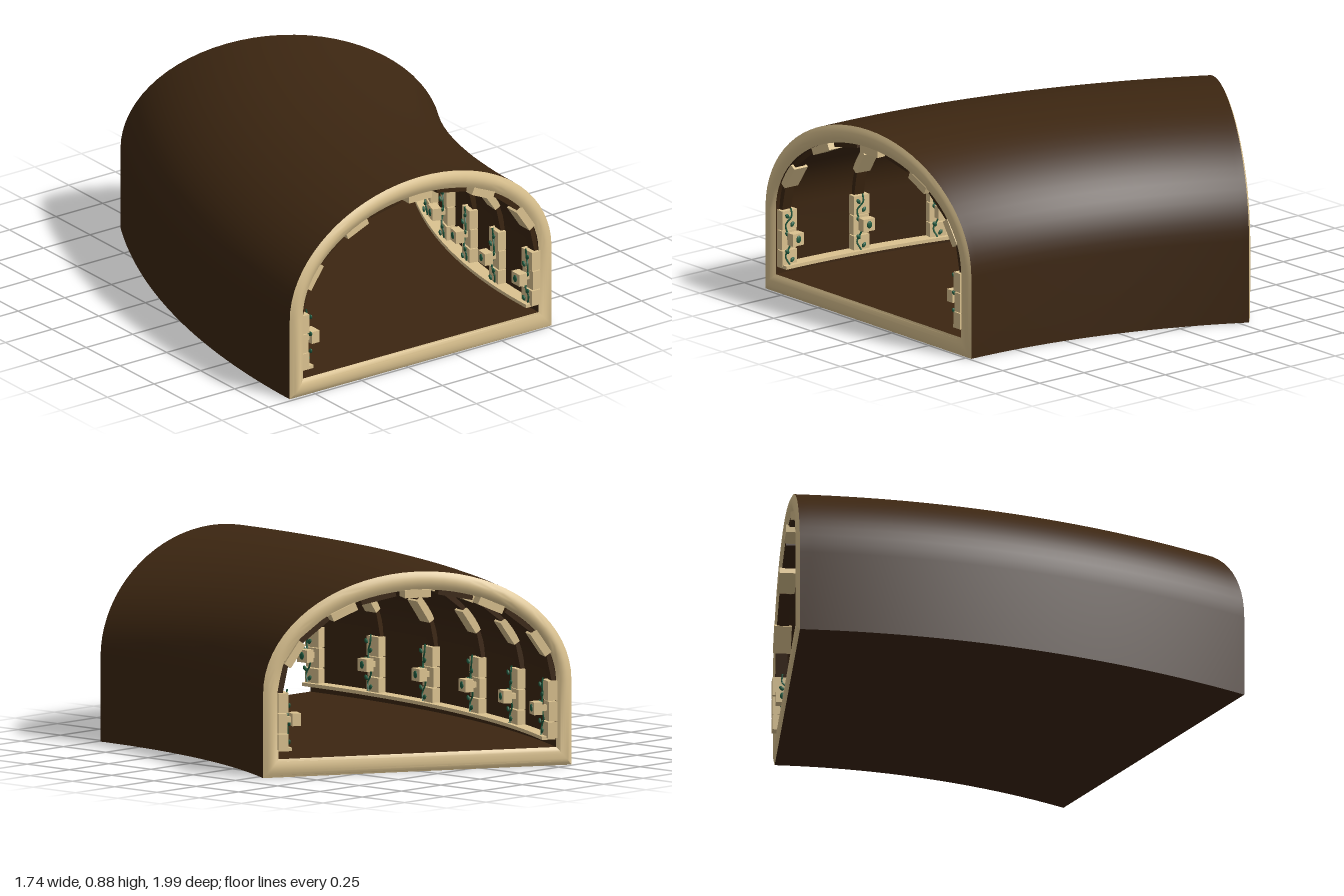
import * as THREE from 'three';
import { toCreasedNormals } from 'three/addons/utils/BufferGeometryUtils.js';

const ARC = Math.PI / 6, RADIUS = 3.3, STEPS = 40, BULGE = 0.004;
const WALL_TOP = 0.37;
const INNER = { a: 0.63, b: 0.425, floor: 0.08 };
const OUTER = { a: 0.7, b: 0.505, floor: 0 };

// maps a cross-section point (u sideways, y up) to the bend at angle t
function place(u, y, t) {
  const r = RADIUS - u;
  return [3.125 - r * Math.cos(t), y, 1 - r * Math.sin(t)];
}

// clockwise arch outline: left wall, vault, right wall
function archProfile({ a, b, floor }) {
  const pts = [[-a, floor]];
  for (let i = 0; i <= 36; i++) {
    const k = Math.PI * (1 - i / 36);
    pts.push([a * Math.cos(k), WALL_TOP + b * Math.sin(k)]);
  }
  pts.push([a, floor]);
  return pts;
}

// skins closed loops of points into a surface
function loft(rows) {
  const n = rows[0].length, index = [];
  for (let i = 0; i < rows.length - 1; i++) {
    for (let j = 0; j < n; j++) {
      const a = i * n + j, b = i * n + (j + 1) % n;
      index.push(a, b, a + n, b, b + n, a + n);
    }
  }
  const g = new THREE.BufferGeometry();
  g.setAttribute('position', new THREE.Float32BufferAttribute(rows.flat(2), 3));
  g.setIndex(index);
  return toCreasedNormals(g, 0.6);
}

function sweep(profile, from, to) {
  const rows = [];
  for (let i = 0; i <= STEPS; i++) {
    const t = from + (to - from) * i / STEPS;
    rows.push(profile.map(([u, y]) => place(u, y, t)));
  }
  return rows;
}

export function createModel() {
  const model = new THREE.Group();
  const material = (name, color) => {
    const m = new THREE.MeshStandardMaterial({ color });
    m.name = name;
    return m;
  };
  const brown = material('dark brown', 0x3c2611);
  const cream = material('sandstone', 0xdcc390);
  const green = material('vine green', 0x1f5c40);

  const add = (parent, name, geometry, mat, x = 0, y = 0, z = 0) => {
    const mesh = new THREE.Mesh(geometry, mat);
    mesh.name = name;
    mesh.position.set(x, y, z);
    parent.add(mesh);
    return mesh;
  };

  // curved shell, outside and inside
  const inner = archProfile(INNER), outer = archProfile(OUTER);
  add(model, 'outerShell', loft(sweep(outer, BULGE, ARC - BULGE)), brown);
  add(model, 'innerShell', loft(sweep(inner, BULGE, ARC - BULGE).reverse()), brown);

  // softly rounded frames around both openings
  const frame = (atBack) => {
    const rows = [];
    for (let i = 0; i <= 8; i++) {
      const k = i / 8, inset = BULGE * (1 - Math.sin(Math.PI * k));
      const t = atBack ? ARC - inset : inset;
      rows.push(inner.map(([u, y], j) =>
        place(u + (outer[j][0] - u) * k, y + (outer[j][1] - y) * k, t)));
    }
    return loft(atBack ? rows.reverse() : rows);
  };
  add(model, 'frontFrame', frame(false), cream);
  add(model, 'backFrame', frame(true), cream);

  // ledges along the foot of both walls
  for (const s of [-1, 1]) {
    const u0 = Math.min(s * 0.568, s * 0.635), u1 = Math.max(s * 0.568, s * 0.635);
    const rows = sweep([[u0, 0.112], [u0, 0.127], [u1, 0.127], [u1, 0.112]], 0.006, ARC - 0.006);
    const cap = (t) => Array(4).fill(place((u0 + u1) / 2, 0.12, t));
    rows.unshift(cap(0.006));
    rows.push(cap(ARC - 0.006));
    add(model, s < 0 ? 'rightLedge' : 'leftLedge', loft(rows), cream);
  }

  // shared rib pieces
  const stones = [[0.12, 0.19, 0.045], [0.194, 0.28, 0.04], [0.284, 0.37, 0.045]];
  const stoneBlock = new THREE.BoxGeometry(0.12, 0.035, 0.075);
  const ribBar = new THREE.BoxGeometry(0.16, 0.024, 0.05);
  const planterBox = new THREE.BoxGeometry(0.04, 0.055, 0.06);
  const bracket = new THREE.BoxGeometry(0.03, 0.025, 0.025);
  const leaf = new THREE.SphereGeometry(0.013, 8, 6).scale(0.5, 1, 0.7);
  const vinePoints = [];
  for (let i = 0; i <= 7; i++) {
    vinePoints.push(new THREE.Vector3(0.006 * Math.cos(i * 2), 0.13 + i * 0.036, 0.016 * Math.sin(i * 1.7)));
  }
  const vine = new THREE.TubeGeometry(new THREE.CatmullRomCurve3(vinePoints), 28, 0.004, 5);

  // ribs: stone piers, planters with vines, and vault blocks
  for (let i = 0; i < 6; i++) {
    const t = THREE.MathUtils.degToRad(0.9 + i * 5.68);
    const rib = new THREE.Group();
    rib.name = 'rib' + (i + 1);
    rib.position.set(...place(0, 0, t));
    rib.rotation.y = -t;
    model.add(rib);

    for (const s of [-1, 1]) {
      for (const [y0, y1, d] of stones) {
        add(rib, 'pierStone', new THREE.BoxGeometry(d, y1 - y0, 0.08), cream, s * (0.635 - d / 2), (y0 + y1) / 2, 0);
      }
      add(rib, 'planterBracket', bracket, cream, s * 0.58, 0.25, 0);
      add(rib, 'planter', planterBox, cream, s * 0.55, 0.25, 0);
      add(rib, 'vine', vine, green, s * 0.582, 0, 0.012);
      for (let k = 0; k < 6; k++) {
        const l = add(rib, 'leaf', leaf, green, s * 0.575, 0.15 + k * 0.04, (k % 2 ? 1 : -1) * 0.014 + 0.012);
        l.rotation.x = (k % 2 ? 1 : -1) * 0.7;
      }
      const sprig = add(rib, 'sprig', leaf, green, s * 0.528, 0.252, 0);
      sprig.scale.set(0.8, 1.3, 1.5);
    }

    for (let k = 0; k < 11; k++) {
      const q = Math.PI * (k + 0.5) / 11, isStone = k % 2 === 1;
      const inset = isStone ? 0.016 : 0.012;
      const nx = Math.cos(q) * INNER.b, ny = Math.sin(q) * INNER.a, len = Math.hypot(nx, ny);
      const block = add(rib, isStone ? 'vaultStone' : 'vaultBar', isStone ? stoneBlock : ribBar, isStone ? cream : brown,
        INNER.a * Math.cos(q) - inset * nx / len, WALL_TOP + INNER.b * Math.sin(q) - inset * ny / len, 0);
      block.rotation.z = Math.atan2(ny, nx) - Math.PI / 2;
    }
  }
  return model;
}
